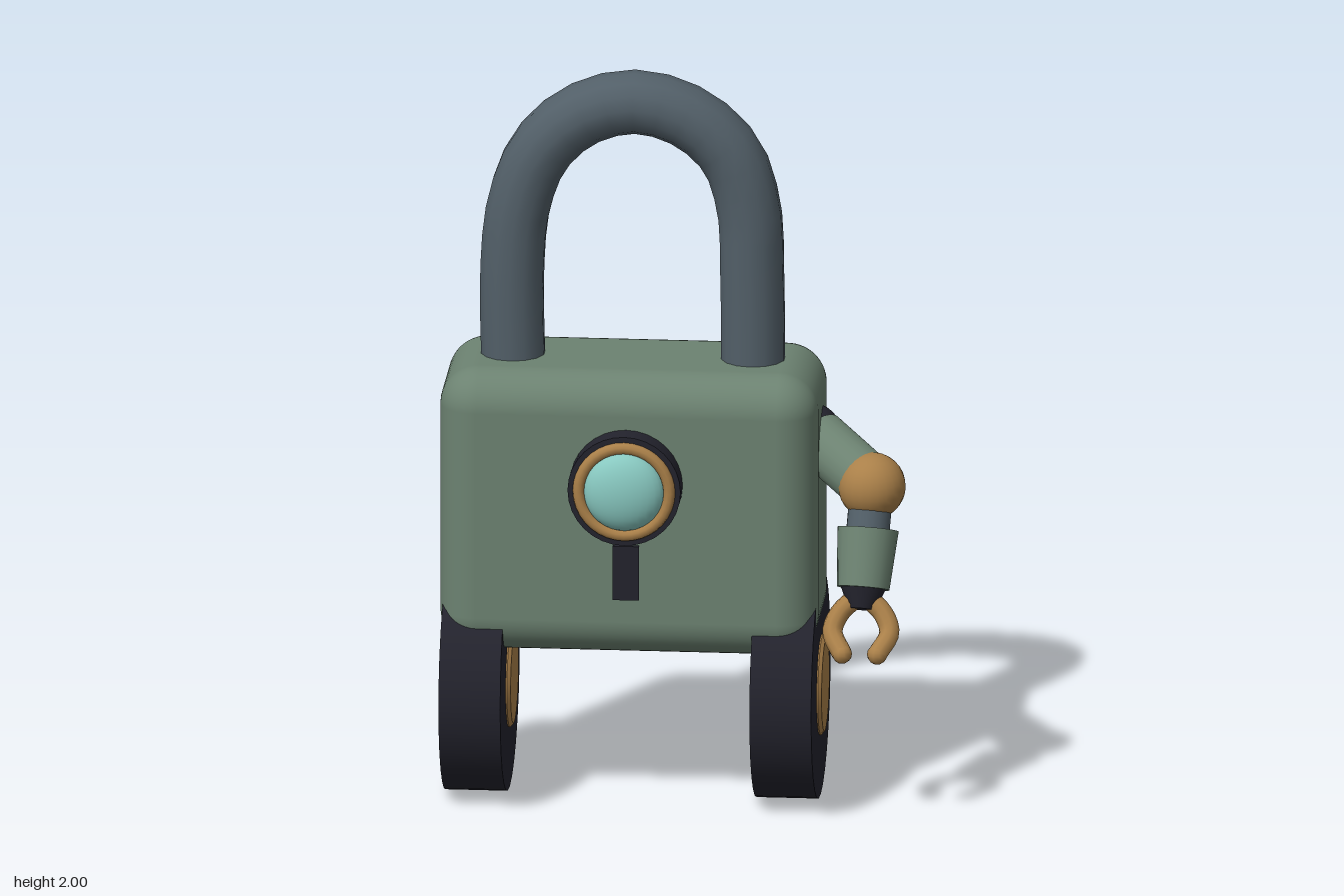
import * as THREE from 'three';
import { RoundedBoxGeometry } from 'three/addons/geometries/RoundedBoxGeometry.js';
import { toCreasedNormals } from 'three/addons/utils/BufferGeometryUtils.js';

const V = (x, y, z) => new THREE.Vector3(x, y, z);

function paint(name, color) {
  const m = new THREE.MeshStandardMaterial({ color });
  m.name = name;
  return m;
}

export function createModel() {
  const green = paint('sage green', 0x6c8271);
  const dark = paint('charcoal', 0x23232d);
  const brass = paint('brass', 0xaa8049);
  const steel = paint('steel grey', 0x525f68);
  const aqua = paint('aqua glass', 0x88c8c0);

  const model = new THREE.Group();
  model.name = 'padlockRobot';
  const CX = -0.12, CZ = -0.033;

  function add(name, geometry, material, x = 0, y = 0, z = 0, parent = model) {
    const mesh = new THREE.Mesh(geometry, material);
    mesh.name = name;
    mesh.position.set(x, y, z);
    parent.add(mesh);
    return mesh;
  }

  // Tapered cylinder running from a to b
  function limb(name, a, b, ra, rb, material, parent) {
    const mesh = add(name, new THREE.CylinderGeometry(rb, ra, a.distanceTo(b), 20), material, 0, 0, 0, parent);
    mesh.position.copy(a).add(b).multiplyScalar(0.5);
    mesh.quaternion.setFromUnitVectors(V(0, 1, 0), b.clone().sub(a).normalize());
    return mesh;
  }

  // Body
  add('body', new RoundedBoxGeometry(1.01, 0.78, 0.465, 6, 0.105), green, CX, 0.82, CZ);

  // Shackle
  const arch = new THREE.CatmullRomCurve3([
    [-0.44, 1.12], [-0.444, 1.45], [-0.425, 1.63], [-0.368, 1.775], [-0.26, 1.875], [-0.115, 1.915],
    [0.03, 1.875], [0.14, 1.775], [0.188, 1.63], [0.197, 1.45], [0.2, 1.12],
  ].map(([x, y]) => V(x, y, CZ)));
  add('shackle', new THREE.TubeGeometry(arch, 28, 0.086, 14), steel);

  // Wheels with bevelled hubs showing on both faces
  const hubProfile = [[0, -0.095], [0.125, -0.095], [0.135, -0.086], [0.135, 0.086], [0.125, 0.095], [0, 0.095]]
    .map(([r, y]) => new THREE.Vector2(r, y));
  for (const [side, x] of [['right', -0.533], ['left', 0.298]]) {
    const wheel = new THREE.Group();
    wheel.name = side + 'Wheel';
    wheel.position.set(x, 0.305, CZ);
    wheel.rotation.z = Math.PI / 2;
    model.add(wheel);
    add('tyre', new THREE.CylinderGeometry(0.305, 0.305, 0.165, 28), dark, 0, 0, 0, wheel);
    add('hub', toCreasedNormals(new THREE.LatheGeometry(hubProfile, 28), 0.5), brass, 0, 0, 0, wheel);
  }

  // Eye
  const eye = new THREE.Group();
  eye.name = 'eye';
  eye.position.set(CX, 0.92, 0);
  model.add(eye);
  add('eyeHousing', new THREE.CylinderGeometry(0.151, 0.151, 0.095, 32), dark, 0, 0, 0.218, eye).rotation.x = Math.PI / 2;
  add('eyeRing', new THREE.TorusGeometry(0.121, 0.016, 10, 36), brass, 0, 0, 0.268, eye);
  add('eyeLens', new THREE.SphereGeometry(0.108, 28, 18), aqua, 0, 0, 0.265, eye).scale.z = 0.5;

  // Keyhole slot
  add('keyholeSlot', new THREE.BoxGeometry(0.07, 0.15, 0.03), dark, CX, 0.675, 0.195);

  // Arm on the model's left
  const arm = new THREE.Group();
  arm.name = 'leftArm';
  model.add(arm);
  const shoulder = V(0.355, 1.005, -0.04), elbow = V(0.53, 0.908, 0.118);
  const cuff = V(0.523, 0.8, 0.158), wrist = V(0.515, 0.652, 0.215), palm = V(0.512, 0.6, 0.236);
  add('shoulder', new THREE.SphereGeometry(0.078, 20, 14), dark, shoulder.x, shoulder.y, shoulder.z, arm);
  limb('upperArm', shoulder.clone().lerp(elbow, 0.12), elbow, 0.078, 0.078, green, arm);
  add('elbow', new THREE.SphereGeometry(0.09, 24, 16), brass, elbow.x, elbow.y, elbow.z, arm);
  limb('elbowJoint', elbow, cuff, 0.058, 0.058, steel, arm);
  limb('forearm', cuff, wrist, 0.082, 0.07, green, arm);
  limb('wrist', wrist, palm, 0.06, 0.035, dark, arm);

  // Two curved claw fingers
  for (const s of [-1, 1]) {
    const points = [[0.015, 0.63, 0.225], [0.058, 0.59, 0.24], [0.076, 0.545, 0.265], [0.047, 0.497, 0.308]]
      .map(([x, y, z]) => V(0.513 + s * x, y, z));
    const curve = new THREE.CatmullRomCurve3(points);
    add('clawFinger', new THREE.TubeGeometry(curve, 12, 0.027, 10), brass, 0, 0, 0, arm);
    const tip = points[3];
    add('clawTip', new THREE.SphereGeometry(0.027, 10, 8), brass, tip.x, tip.y, tip.z, arm);
  }

  return model;
}
